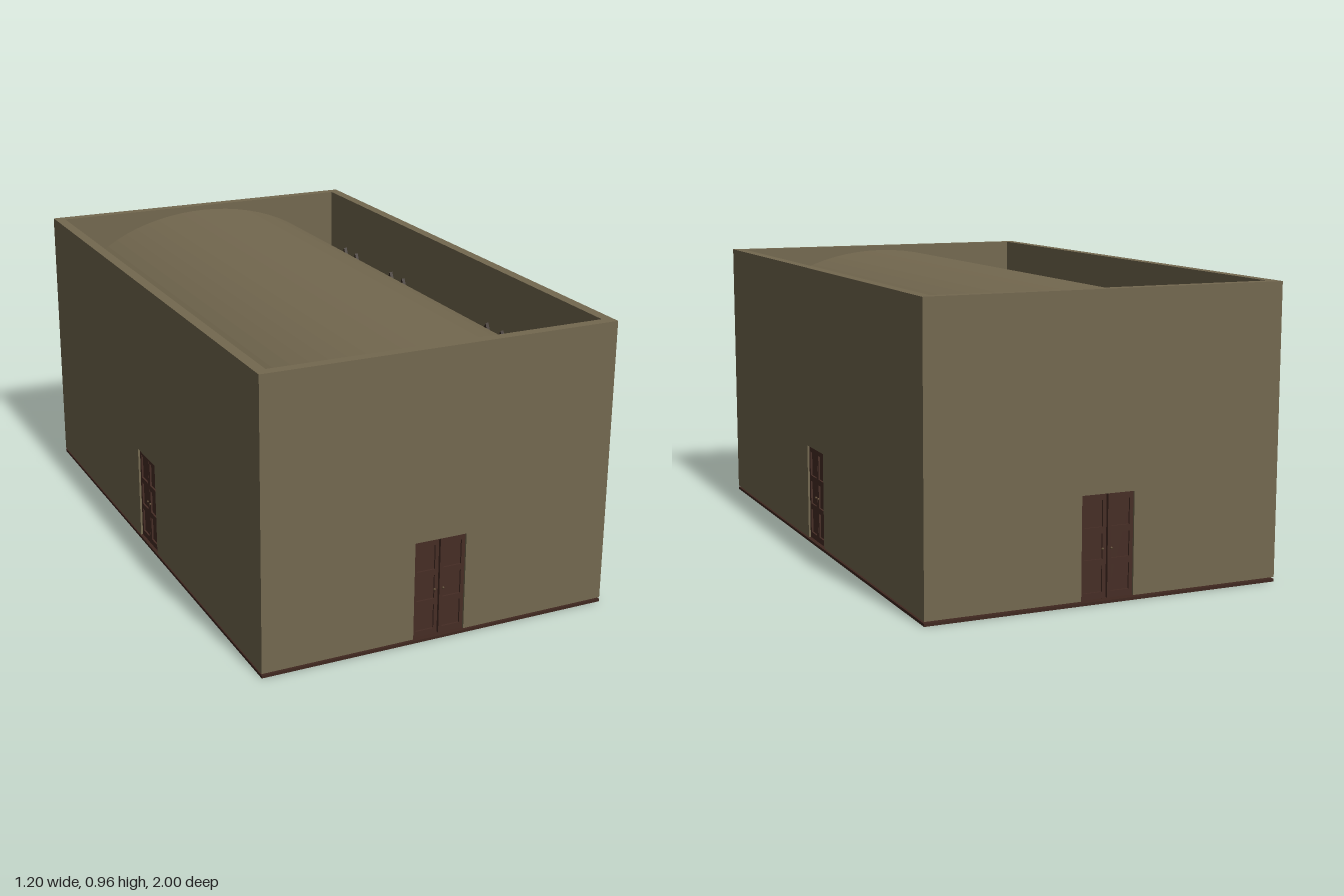
import * as THREE from 'three';

const W = 1.2, L = 2, TOP = 0.96, BASE = 0.015, T = 0.036;
const DOOR_TOP = 0.342;

function material(name, color, side = THREE.FrontSide) {
  const m = new THREE.MeshStandardMaterial({ color, side });
  m.name = name;
  return m;
}

export function createModel() {
  const model = new THREE.Group();
  model.name = 'vaultedHall';
  const stone = material('stone', 0x73684f);
  const wood = material('doorWood', 0x462d25);
  const floorWood = material('floorWood', 0x3f271f);
  const iron = material('darkOrnament', 0x33271f, THREE.DoubleSide);
  const brass = material('handleMetal', 0x5a4630);

  const add = (parent, name, geometry, mat, x = 0, y = 0, z = 0) => {
    const mesh = new THREE.Mesh(geometry, mat);
    mesh.name = name;
    mesh.position.set(x, y, z);
    parent.add(mesh);
    return mesh;
  };
  const box = (parent, name, mat, w, h, d, x, y, z) =>
    add(parent, name, new THREE.BoxGeometry(w, h, d), mat, x, y, z);

  // Floor slab with a smaller raised floor on it
  box(model, 'floorSlab', floorWood, W, 0.009, L, 0, 0.0045, 0);
  box(model, 'innerFloor', floorWood, W - 2 * T, 0.007, L - 2 * T, 0, 0.0125, 0);

  // Wall panel with a doorway cut up from its lower edge
  function wallGeometry(width, doorWidth) {
    const w = width / 2, d = doorWidth / 2;
    const shape = new THREE.Shape([
      [-w, BASE], [-d, BASE], [-d, DOOR_TOP], [d, DOOR_TOP],
      [d, BASE], [w, BASE], [w, TOP], [-w, TOP],
    ].map(([x, y]) => new THREE.Vector2(x, y)));
    return new THREE.ExtrudeGeometry(shape, { depth: T, bevelEnabled: false });
  }

  // Double door of two panelled leaves, facing +z with its outer face at z = 0
  function makeDoor(width, gap) {
    const door = new THREE.Group();
    door.name = 'doubleDoor';
    const h = DOOR_TOP - BASE, leafW = (width - gap) / 2;
    for (const s of [-1, 1]) {
      const leaf = new THREE.Group();
      leaf.name = s < 0 ? 'rightLeaf' : 'leftLeaf';
      leaf.position.set(s * (gap + leafW) / 2, BASE + h / 2, 0);
      box(leaf, 'leafBoard', wood, leafW, h, 0.012, 0, 0, -0.015);
      for (const e of [-1, 1]) {
        box(leaf, 'stile', wood, 0.012, h, 0.006, e * (leafW / 2 - 0.006), 0, -0.006);
      }
      for (const y of [-0.153, -0.05, 0.05, 0.153]) {
        box(leaf, 'rail', wood, leafW - 0.024, 0.02, 0.006, 0, y, -0.006);
      }
      add(leaf, 'handle', new THREE.SphereGeometry(0.004, 10, 8), brass,
        -s * (leafW / 2 - 0.012), -0.008, -0.001);
      door.add(leaf);
    }
    return door;
  }

  // Four walls, each with its door
  for (let i = 0; i < 4; i++) {
    const end = i % 2 === 0;
    const side = new THREE.Group();
    side.name = ['frontWall', 'leftWall', 'backWall', 'rightWall'][i];
    side.rotation.y = i * Math.PI / 2;
    const reach = end ? L / 2 : W / 2;
    const doorWidth = end ? 0.178 : 0.17;
    add(side, 'wall', wallGeometry(end ? W : L - 2 * T, doorWidth), stone, 0, 0, reach - T);
    const door = makeDoor(doorWidth, end ? 0.006 : 0.001);
    door.position.z = reach - 0.004;
    side.add(door);
    model.add(side);
  }

  // Elliptical barrel vault between the side walls
  const halfW = W / 2 - T, spring = 0.58, rise = 0.362, STEPS = 36;
  const arc = (a, b) => Array.from({ length: STEPS + 1 }, (_, i) => {
    const t = Math.PI * i / STEPS;
    return new THREE.Vector2(a * Math.cos(t), spring + b * Math.sin(t));
  });
  const vaultShape = new THREE.Shape([...arc(halfW, rise), ...arc(halfW - 0.012, rise - 0.012).reverse()]);
  add(model, 'barrelVault', new THREE.ExtrudeGeometry(vaultShape,
    { depth: L - 2 * T, bevelEnabled: false }), stone, 0, 0, -L / 2 + T);

  // Pointed lancet frame, drawn in the wall plane
  const lancet = (w, low, shoulder, tip) => [
    [-w, low], [w, low], [w, shoulder], [w * 0.55, shoulder + (tip - shoulder) * 0.5],
    [0, tip], [-w * 0.55, shoulder + (tip - shoulder) * 0.5], [-w, shoulder],
  ].map(([x, y]) => new THREE.Vector2(x, y));
  const frameShape = new THREE.Shape(lancet(0.045, 0.3, 0.66, 0.76));
  frameShape.holes.push(new THREE.Path(lancet(0.034, 0.315, 0.65, 0.715)));
  const frameGeometry = new THREE.ExtrudeGeometry(frameShape, { depth: 0.012, bevelEnabled: false });

  // Wall rib with a bracket that curves out under the vault
  const rib = new THREE.Shape();
  rib.moveTo(0, BASE);
  rib.lineTo(0.03, BASE);
  rib.lineTo(0.03, 0.56);
  rib.quadraticCurveTo(0.03, 0.68, 0.068, 0.755);
  rib.quadraticCurveTo(0.03, 0.73, 0, 0.67);
  const ribGeometry = new THREE.ExtrudeGeometry(rib, { depth: 0.01, bevelEnabled: false, curveSegments: 6 });

  for (const s of [-1, 1]) {
    for (const z of [-0.77, -0.37, 0.35, 0.77]) {
      for (const dz of [-0.05, 0.05]) {
        const frame = add(model, 'lancetFrame', frameGeometry, iron, s * halfW, 0, z + dz);
        frame.rotation.y = -s * Math.PI / 2;
      }
    }
    for (const z of [-0.947, -0.65, -0.24, 0.17, 0.58, 0.937]) {
      const r = add(model, 'wallRib', ribGeometry, iron, s * halfW, 0, z + s * 0.005);
      r.rotation.y = s > 0 ? Math.PI : 0;
      if (s < 0) r.position.z = z - 0.005;
    }
  }

  // Table standing on the centre line inside
  box(model, 'tableTop', floorWood, 0.26, 0.02, 0.12, 0, 0.192, -0.7);
  box(model, 'tableBase', floorWood, 0.2, 0.167, 0.08, 0, 0.0985, -0.7);

  return model;
}
